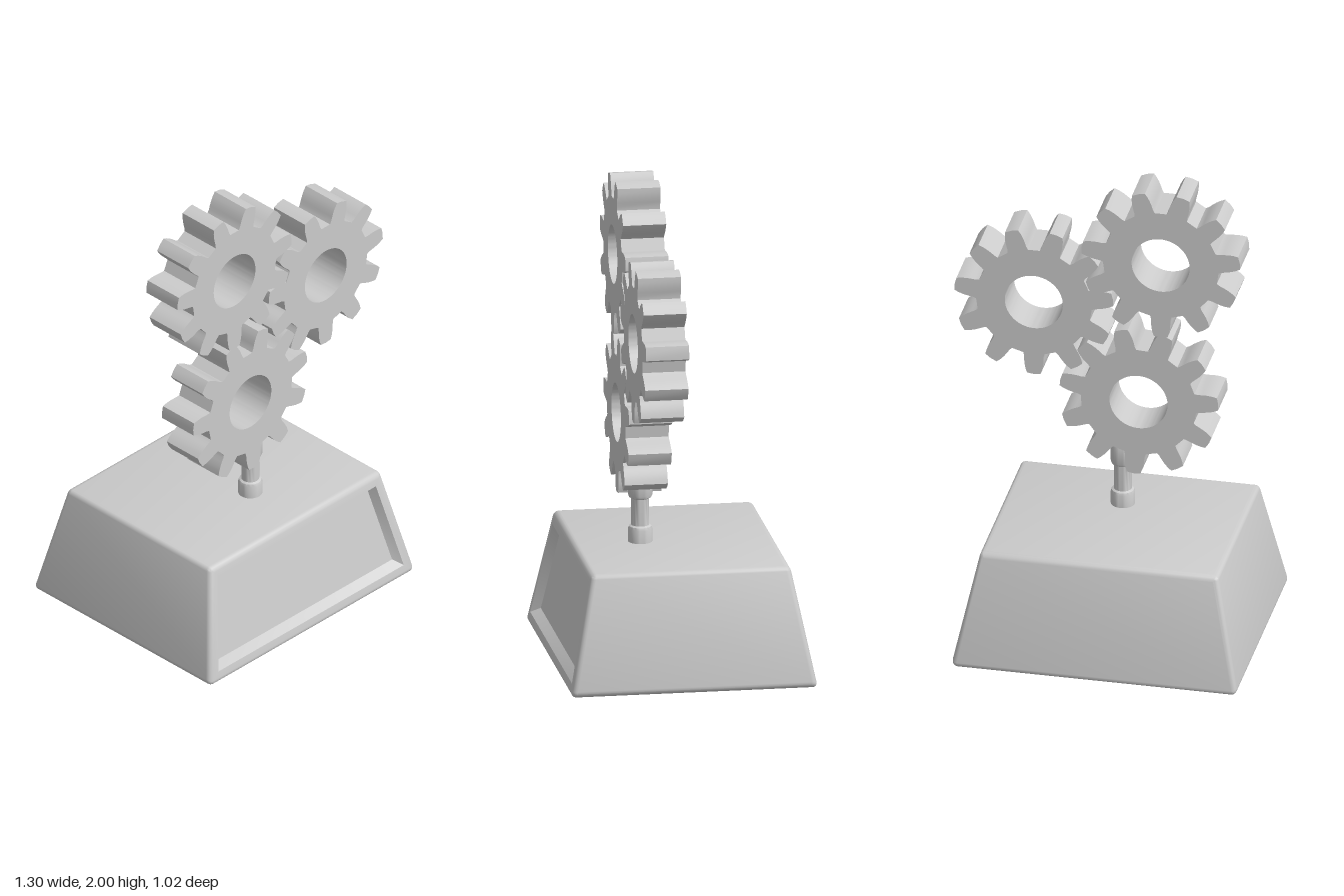
import * as THREE from 'three';
import { toCreasedNormals } from 'three/addons/utils/BufferGeometryUtils.js';

const material = new THREE.MeshStandardMaterial({ color: 0xcccccc });

function addMesh(parent, name, geometry, x, y, z) {
  const mesh = new THREE.Mesh(geometry, material);
  mesh.name = name;
  mesh.position.set(x, y, z);
  parent.add(mesh);
  return mesh;
}

// Eleven-tooth spur gear with curved flanks and a round bore
function gearGeometry() {
  const teeth = 11, depth = 0.18;
  // [radius, half angle in degrees] from tooth root to tip
  const flank = [[0.243, 10.5], [0.257, 9.2], [0.275, 8.5], [0.295, 7.6], [0.315, 6.4], [0.334, 4.9]];
  const outline = [];
  for (let i = 0; i < teeth; i++) {
    const mid = -Math.PI / 2 + (i * 2 * Math.PI) / teeth;
    const put = ([r, deg], side) => {
      const a = mid + side * THREE.MathUtils.degToRad(deg);
      outline.push(new THREE.Vector2(r * Math.cos(a), r * Math.sin(a)));
    };
    flank.forEach((p) => put(p, -1));
    put([0.336, 0], 1);
    [...flank].reverse().forEach((p) => put(p, 1));
  }
  const shape = new THREE.Shape(outline);
  shape.holes.push(new THREE.Path().absarc(0, 0, 0.122, 0, Math.PI * 2, true));
  const geo = new THREE.ExtrudeGeometry(shape, { depth, bevelEnabled: false, curveSegments: 48 });
  geo.translate(0, 0, -depth / 2);
  return toCreasedNormals(geo, 0.45);
}

// Pedestal: trapezoid rings lofted from the back, over the front rim, into the recess
function pedestalGeometry() {
  const H = 0.495, lean = 0.21, round = 0.022, steps = 4;
  const normalAngle = Math.atan(lean);
  const halfWidth = (y) => 0.603 - lean * y;
  const halfDepth = (y) => 0.513 - 0.2 * y;

  function ring(inset, radius, side, sink) {
    const d = inset + radius, top = H - d, bottom = d;
    const cx = (y) => halfWidth(y) - d / Math.cos(normalAngle);
    const up = Math.PI / 2, n = normalAngle;
    // centre and arc range of each corner, counter-clockwise
    const corners = [
      [cx(top), top, n, up],
      [-cx(top), top, up, Math.PI - n],
      [-cx(bottom), bottom, Math.PI - n, 3 * up],
      [cx(bottom), bottom, 3 * up, 4 * up + n],
    ];
    return corners.flatMap(([x, y, a0, a1]) =>
      Array.from({ length: steps + 1 }, (_, k) => {
        const a = a0 + ((a1 - a0) * k) / steps;
        const py = y + radius * Math.sin(a);
        return [x + radius * Math.cos(a), py, side * (halfDepth(py) - sink)];
      }));
  }

  const rings = [];
  const edge = (t) => [round * (1 - Math.cos(t)), round * (1 - Math.sin(t))];
  for (let i = steps; i >= 0; i--) {
    const [inset, sink] = edge((i / steps) * Math.PI / 2);
    rings.push(ring(inset, round - inset + 0.001, -1, sink));
  }
  for (let i = 0; i <= steps; i++) {
    const [inset, sink] = edge((i / steps) * Math.PI / 2);
    rings.push(ring(inset, round - inset + 0.001, 1, sink));
  }
  rings.push(ring(0.05, 0.001, 1, 0));        // recess opening
  rings.push(ring(0.073, 0.001, 1, 0.035));   // recess floor

  const n = rings[0].length, index = [];
  const points = rings.flat();
  for (let i = 0; i < rings.length - 1; i++) {
    for (let j = 0; j < n; j++) {
      const a = i * n + j, b = i * n + ((j + 1) % n);
      index.push(a, b, b + n, a, b + n, a + n);
    }
  }
  // flat caps on the back and on the recess floor
  const last = (rings.length - 1) * n;
  for (let j = 1; j < n - 1; j++) {
    index.push(0, j + 1, j, last, last + j, last + j + 1);
  }
  const geo = new THREE.BufferGeometry();
  geo.setAttribute('position', new THREE.Float32BufferAttribute(points.flat(), 3));
  geo.setIndex(index);
  return toCreasedNormals(geo, 0.5);
}

// Turned post with a collar at each end
function postGeometry() {
  const profile = [
    [0, 0.48], [0.05, 0.48], [0.05, 0.55], [0.046, 0.561], [0.037, 0.566],
    [0.037, 0.68], [0.046, 0.685], [0.05, 0.695], [0.05, 0.785], [0.042, 0.8], [0, 0.805],
  ].map(([r, y]) => new THREE.Vector2(r, y));
  return toCreasedNormals(new THREE.LatheGeometry(profile, 32), 0.6);
}

export function createModel() {
  const model = new THREE.Group();
  model.name = 'gearTrophy';

  addMesh(model, 'pedestal', pedestalGeometry(), -0.052, 0, 0);
  addMesh(model, 'post', postGeometry(), -0.035, 0, 0.135);

  const gear = gearGeometry();
  const gears = [
    ['upperGear', -0.214, 1.673, 0],
    ['sideGear', 0.319, 1.441, 0],
    ['lowerGear', -0.121, 1.024, 3.6],
  ];
  for (const [name, x, y, turn] of gears) {
    addMesh(model, name, gear, x, y, 0.131).rotation.z = THREE.MathUtils.degToRad(turn);
  }
  return model;
}
